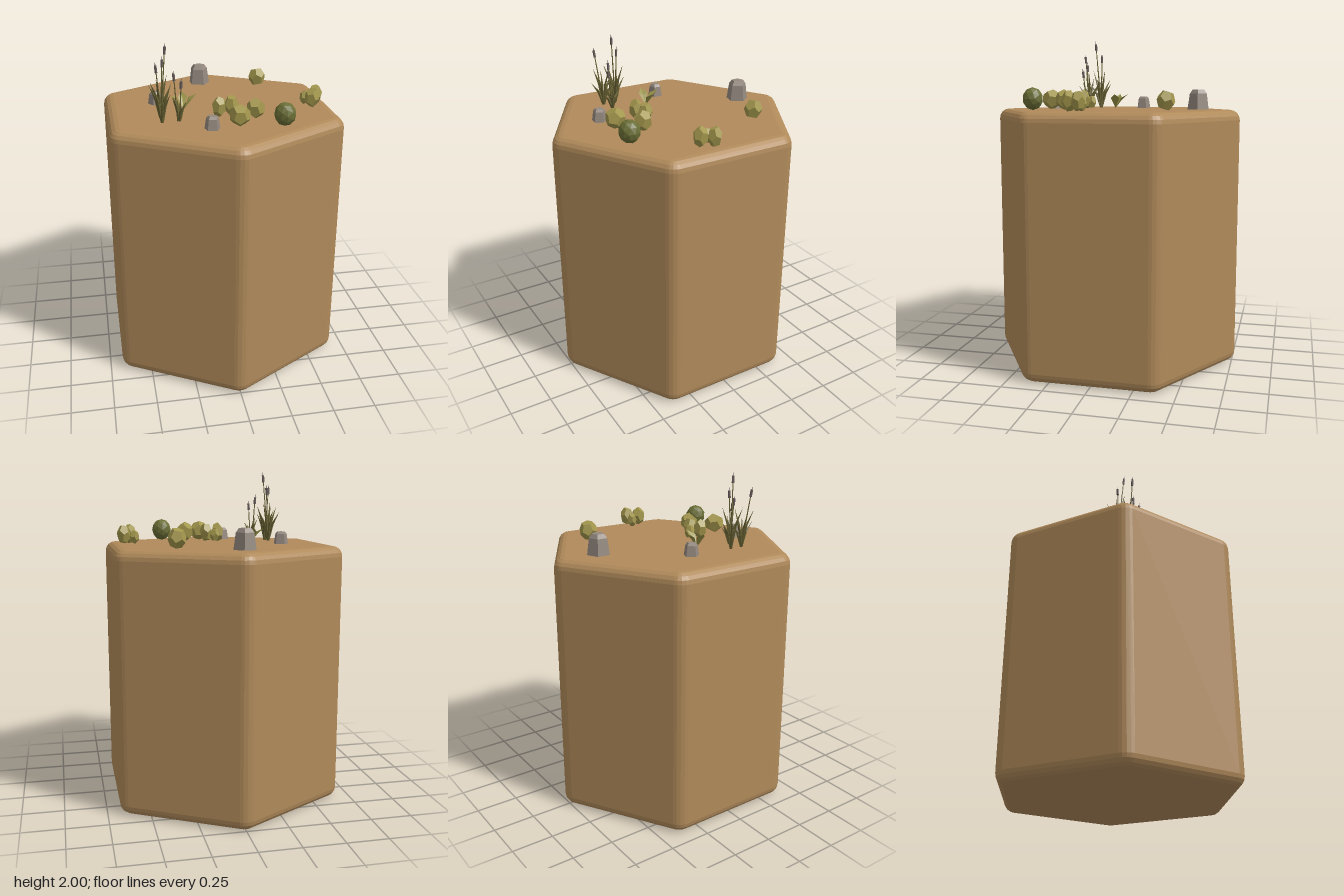
import * as THREE from 'three';

const TOP = 1.565;
const mat = (name, color, opts = {}) => new THREE.MeshStandardMaterial({ name, color, flatShading: true, ...opts });
const soil = mat('soil', 0xb08a5a);
const stone = mat('stone', 0x94897f);
const bushGreen = mat('bush olive', 0xa2964c);
const darkGreen = mat('dark bush green', 0x6a6e35);
const leafGreen = mat('leaf green', 0x9a9448, { side: THREE.DoubleSide });
const reedGreen = mat('reed green', 0x6a6334);
const seedGrey = mat('seed head grey', 0x6a605e);

function add(group, name, geometry, material, x = 0, y = 0, z = 0) {
  const mesh = new THREE.Mesh(geometry, material);
  mesh.name = name;
  mesh.position.set(x, y, z);
  group.add(mesh);
  return mesh;
}

// Hexagonal column with rounded corners and bevelled rims
function columnGeometry() {
  const bevel = 0.06, shape = new THREE.Shape();
  for (let k = 0; k < 6; k++) {
    const a = Math.PI / 2 + k * Math.PI / 3;
    shape.absarc(Math.cos(a) * 0.6755, Math.sin(a) * 0.6755, 0.03, a - Math.PI / 6, a + Math.PI / 6, false);
  }
  const geo = new THREE.ExtrudeGeometry(shape, {
    depth: TOP - 2 * bevel, bevelEnabled: true, bevelSize: bevel,
    bevelThickness: bevel, bevelSegments: 4, curveSegments: 2,
  });
  return geo.rotateX(-Math.PI / 2).translate(0, bevel, 0);
}

// Five-sided tapered stone
function addRock(group, x, z, r, h, turn) {
  const profile = [[r, 0], [r * 0.8, h * 0.8], [r * 0.55, h], [0, h]].map(p => new THREE.Vector2(...p));
  add(group, 'rock', new THREE.LatheGeometry(profile, 5), stone, x, TOP, z).rotation.y = turn;
}

// Faceted egg-shaped bush
function addBush(group, x, z, r, ry, turn) {
  const geo = new THREE.DodecahedronGeometry(1).rotateX(turn * 0.7).rotateY(turn).scale(r, ry, r);
  add(group, 'bush', geo, bushGreen, x, TOP + ry * 0.97, z);
}

// Thin cone or rod running from one point to another
function addRod(group, name, from, to, rTop, rBase, sides, material) {
  const dir = to.clone().sub(from), len = dir.length();
  const geo = new THREE.CylinderGeometry(rTop, rBase, len, sides).translate(0, len / 2, 0);
  const mesh = add(group, name, geo, material, from.x, from.y, from.z);
  mesh.quaternion.setFromUnitVectors(new THREE.Vector3(0, 1, 0), dir.normalize());
}

// Clump of grass blades fanning outwards, each bending once
function addClump(group, x, z, spread, height, count, turn) {
  for (let i = 0; i < count; i++) {
    const a = turn + i * Math.PI * 2 / count;
    const s = spread * (0.75 + 0.25 * ((i * 2) % 3) / 2), h = height * (0.65 + 0.35 * ((i * 3 + 1) % 4) / 3);
    const at = (t, y) => new THREE.Vector3(x + Math.cos(a) * s * t, TOP + h * y, z + Math.sin(a) * s * t);
    addRod(group, 'blade base', at(0.05, 0), at(0.42, 0.6), 0.008, 0.006, 4, reedGreen);
    addRod(group, 'blade tip', at(0.42, 0.6), at(1, 1), 0.0005, 0.008, 4, reedGreen);
  }
}

// Reed stalk with a seed head and a short spike
function addReed(group, x0, z0, x1, y1, z1) {
  const base = new THREE.Vector3(x0, TOP, z0), tip = new THREE.Vector3(x1, y1, z1);
  const dir = tip.clone().sub(base).normalize();
  const headTop = tip.clone().addScaledVector(dir, -0.018);
  const headBase = tip.clone().addScaledVector(dir, -0.06);
  addRod(group, 'stalk', base, headBase, 0.003, 0.005, 5, reedGreen);
  addRod(group, 'seed head', headBase, headTop, 0.008, 0.008, 6, seedGrey);
  addRod(group, 'spike', headTop, tip, 0.001, 0.003, 4, seedGrey);
}

// Broad pointed leaf, folded along its midrib, growing along +z
function leafGeometry(length, width, rise) {
  const rib = [[0, 0], [length * 0.5, rise * 0.6], [length, rise]];
  const [a, m, t] = rib.map(([z, y]) => [0, y, z]);
  const l = [-width, rise * 0.75, length * 0.5], r = [width, rise * 0.75, length * 0.5];
  const geo = new THREE.BufferGeometry();
  geo.setAttribute('position', new THREE.Float32BufferAttribute(
    [a, m, l, l, m, t, a, r, m, m, r, t].flat(), 3));
  geo.computeVertexNormals();
  return geo;
}

export function createModel() {
  const model = new THREE.Group();
  model.name = 'hexagonal ground tile';
  const part = name => {
    const g = new THREE.Group();
    g.name = name;
    model.add(g);
    return g;
  };

  add(model, 'ground column', columnGeometry(), soil);

  const rocks = part('rocks');
  addRock(rocks, -0.04, -0.51, 0.068, 0.12, 0.35);
  addRock(rocks, -0.37, -0.10, 0.046, 0.075, 0.9);
  addRock(rocks, -0.11, 0.425, 0.046, 0.075, 0.5);

  const bushes = part('bushes');
  [
    [0.32, -0.37, 0.055, 0.062], [0.165, 0.285, 0.055, 0.062], [0.05, 0.40, 0.062, 0.062],
    [0.515, 0.075, 0.031, 0.045], [0.58, 0.075, 0.043, 0.061], [0.54, 0.14, 0.044, 0.061],
    [-0.008, 0.16, 0.031, 0.045], [0.04, 0.2, 0.043, 0.061], [-0.037, 0.22, 0.043, 0.061],
  ].forEach(([x, z, r, ry], i) => addBush(bushes, x, z, r, ry, 0.4 + i * 1.3));

  // Darker, rounder bush
  add(bushes, 'dark bush', new THREE.IcosahedronGeometry(1, 1).scale(0.062, 0.068, 0.062),
    darkGreen, 0.297, TOP + 0.067, 0.44);

  const leaves = part('leafy plant');
  for (const a of [Math.PI, Math.PI / 2 + 0.15, -Math.PI / 2 - 0.15])
    add(leaves, 'leaf', leafGeometry(0.082, 0.028, 0.09), leafGreen, -0.22, TOP, 0.055).rotation.y = a;

  const reeds = part('reeds');
  addClump(reeds, -0.37, 0.19, 0.075, 0.24, 7, 0.2);
  addClump(reeds, -0.37, 0.27, 0.075, 0.22, 7, 0.7);
  addClump(reeds, -0.27, 0.26, 0.055, 0.15, 6, 0.4);
  addReed(reeds, -0.37, 0.19, -0.338, 2.0, 0.22);
  addReed(reeds, -0.37, 0.19, -0.352, 1.92, 0.18);
  addReed(reeds, -0.37, 0.27, -0.405, 1.92, 0.31);
  addReed(reeds, -0.28, 0.26, -0.302, 1.86, 0.265);
  addReed(reeds, -0.27, 0.26, -0.26, 1.82, 0.288);
  return model;
}
